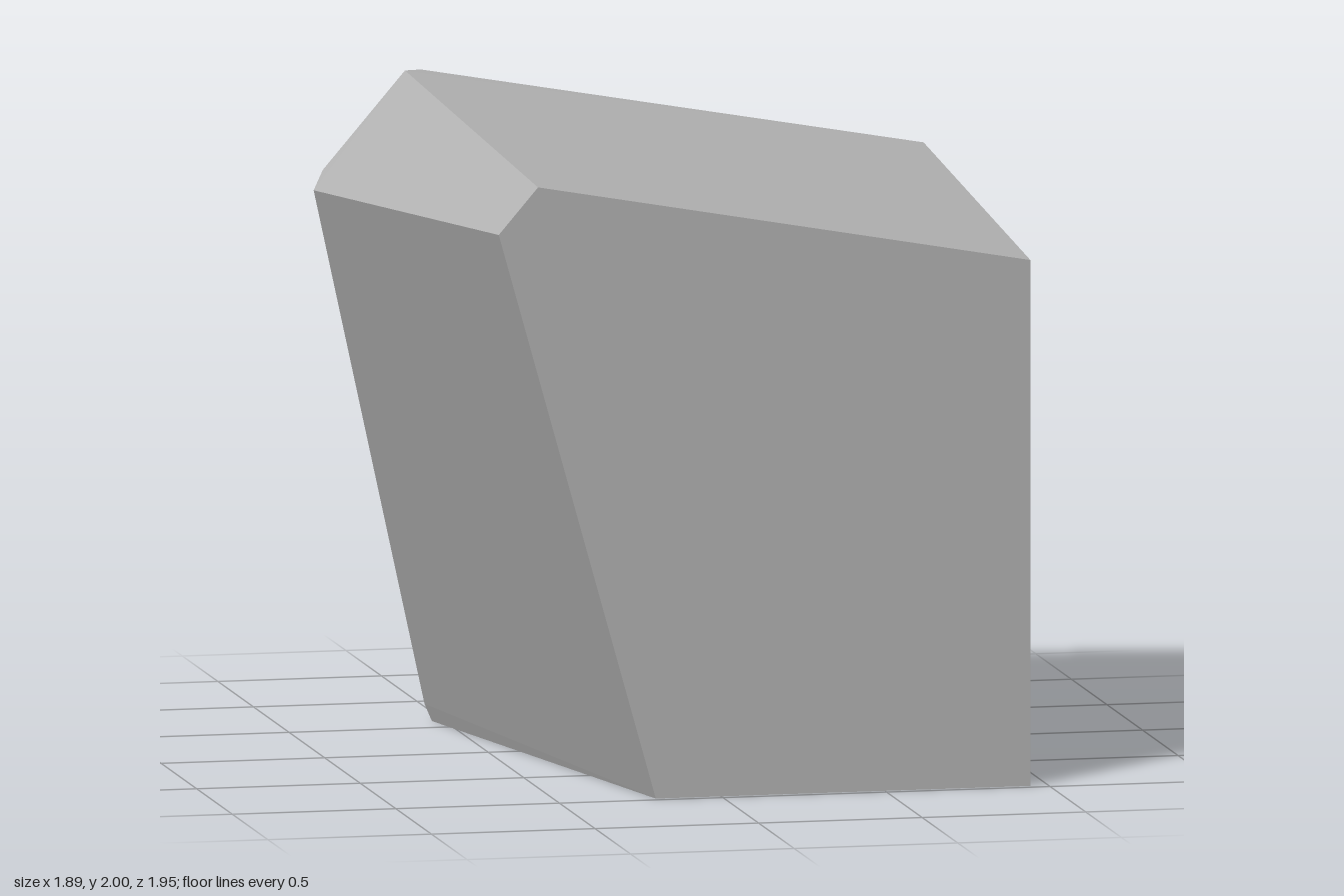
import * as THREE from 'three';
import { ConvexGeometry } from 'three/addons/geometries/ConvexGeometry.js';

export function createModel() {
  const group = new THREE.Group();
  group.name = 'cutBlock';
  const stone = new THREE.MeshStandardMaterial({ color: 0xb4b4b4 });
  stone.name = 'grey stone';

  // Corners of the faceted block
  const corners = [
    // front face
    [-0.2, 0, 0.975], [0.945, 0, 0.975], [0.945, 1.59, 0.975], [-0.56, 1.86, 0.975], [-0.68, 1.72, 0.975],
    // rear corners of the flat +x side
    [0.945, 0, -0.38], [0.945, 1.325, -0.78], [0.945, 1.715, -0.525],
    // small corner facet at the top
    [-0.6, 1.993, -0.487], [-0.66, 2, -0.435], [-0.91, 1.707, -0.44], [-0.645, 1.565, -0.77],
    // tapering facet down the rear corner
    [-0.95, 1.655, -0.385], [-0.45, 1.222, -0.975], [-0.556, 0.05, -0.638],
    // foot of the rear corner
    [-0.537, 0, -0.622],
  ].map((p) => new THREE.Vector3(...p));

  const block = new THREE.Mesh(new ConvexGeometry(corners), stone);
  block.name = 'block';
  group.add(block);
  return group;
}
